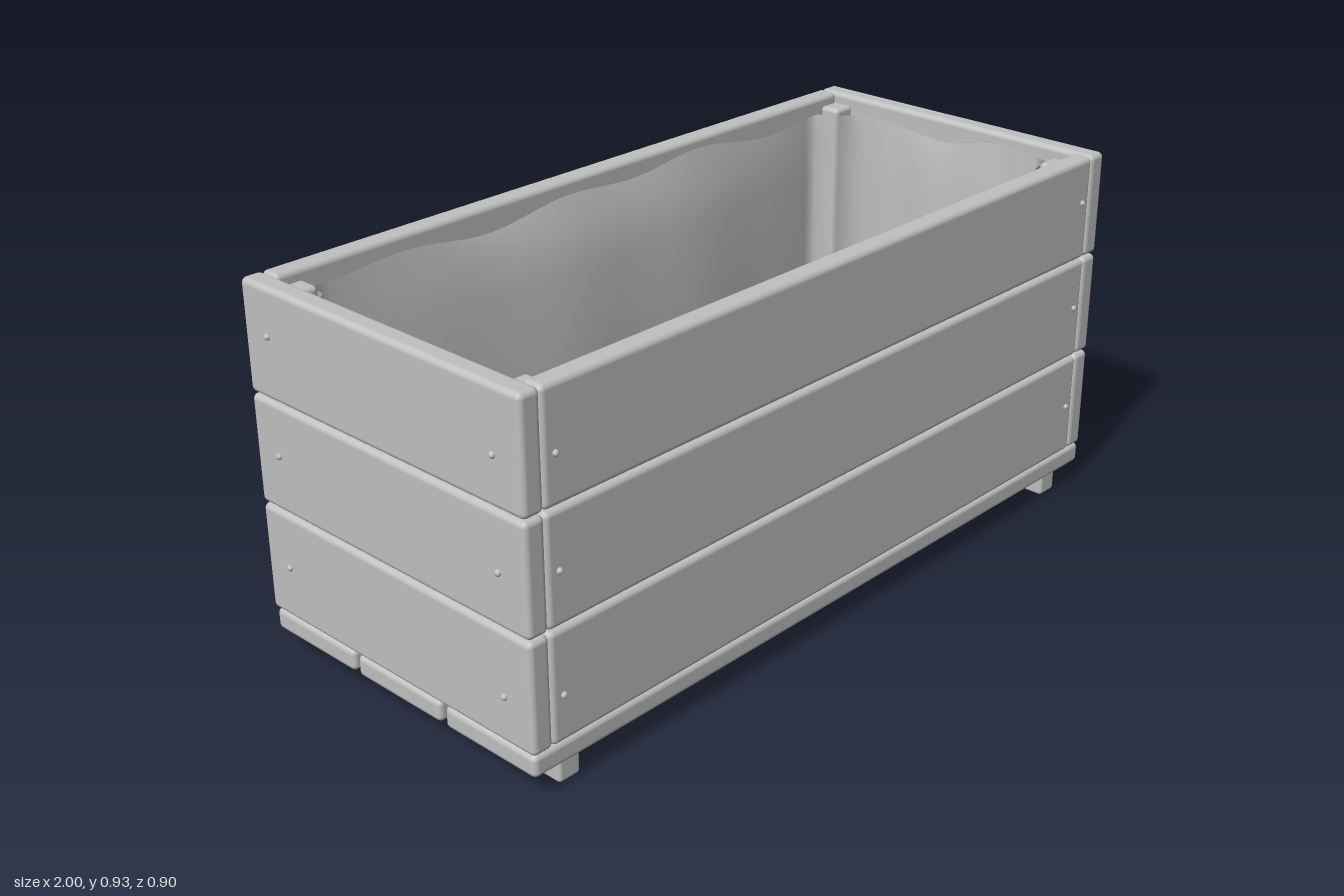
import * as THREE from 'three';
import { RoundedBoxGeometry } from 'three/addons/geometries/RoundedBoxGeometry.js';

export function createModel() {
  const model = new THREE.Group();
  model.name = 'planterBox';
  const grey = new THREE.MeshStandardMaterial({ color: 0xc0c0c0, side: THREE.DoubleSide });
  grey.name = 'plainGrey';

  const add = (name, geometry) => {
    const mesh = new THREE.Mesh(geometry, grey);
    mesh.name = name;
    model.add(mesh);
    return mesh;
  };

  // Softly rounded board given by its minimum and maximum corners
  const board = (name, [x0, y0, z0], [x1, y1, z1], radius = 0.014) => {
    const mesh = add(name, new RoundedBoxGeometry(x1 - x0, y1 - y0, z1 - z0, 3, radius));
    mesh.position.set((x0 + x1) / 2, (y0 + y1) / 2, (z0 + z1) / 2);
  };

  // Domed screw head facing along dir
  const screwGeometry = new THREE.SphereGeometry(0.008, 10, 6);
  const screw = (x, y, z) => add('screw', screwGeometry).position.set(x, y, z);

  // Three courses of wall planks, with screws near each end
  const courses = [
    { y0: 0.115, y1: 0.386, low: 0.23, high: 0.25 },
    { y0: 0.39, y1: 0.657, low: 0.52, high: 0.53 },
    { y0: 0.661, y1: 0.93, low: 0.78, high: 0.815 },
  ];
  for (const { y0, y1, low, high } of courses) {
    board('frontPlank', [-0.938, y0, 0.387], [0.938, y1, 0.442]);
    board('backPlank', [-0.938, y0, -0.442], [0.938, y1, -0.387]);
    board('leftPlank', [0.936, y0, -0.442], [0.992, y1, 0.442]);
    board('rightPlank', [-0.992, y0, -0.442], [-0.936, y1, 0.442]);
    for (const s of [-1, 1]) {
      screw(-0.905, low, s * 0.443);
      screw(0.905, high, s * 0.443);
      screw(s * 0.993, low, 0.36);
      screw(s * 0.993, high, -0.356);
    }
  }

  // Floor slats
  for (const [z0, z1] of [[0.157, 0.44], [-0.138, 0.142], [-0.434, -0.151]]) {
    board('floorSlat', [-0.99, 0.06, z0], [0.99, 0.115, z1]);
  }

  // Feet and inner corner posts
  for (const s of [-1, 1]) {
    const x = s * 0.878;
    board('foot', [x - 0.031, 0, -0.42], [x + 0.031, 0.063, 0.424], 0.01);
    for (const t of [-1, 1]) {
      const px = s * 0.903, pz = t * 0.358;
      board('cornerPost', [px - 0.033, 0.115, pz - 0.03], [px + 0.033, 0.905, pz + 0.03], 0.012);
    }
  }

  // Fabric liner: an outline that steps around the posts, sagging inward mid-wall
  const outline = (sag) => {
    const points = [];
    const wall = (n, half, depth, place) => {
      for (let i = 0; i <= n; i++) {
        const t = -1 + (2 * i) / n;
        const bulge = Math.cos((t * Math.PI) / 2) * sag * depth;
        const ripple = Math.sin(t * 11) * 0.004 * sag * (1 - t * t);
        points.push(place(t * half, bulge + ripple));
      }
    };
    const corner = (x, z) => points.push([x, z]);
    wall(36, 0.85, 0.05, (u, d) => [u, 0.383 - d]);
    corner(0.862, 0.33); corner(0.872, 0.32);
    wall(18, 0.31, 0.02, (u, d) => [0.932 - d, -u]);
    corner(0.872, -0.32); corner(0.862, -0.33);
    wall(36, 0.85, 0.05, (u, d) => [-u, -0.383 + d]);
    corner(-0.862, -0.33); corner(-0.872, -0.32);
    wall(18, 0.31, 0.02, (u, d) => [-0.932 + d, u]);
    corner(-0.872, 0.32); corner(-0.862, 0.33);
    return points;
  };

  // Rings of the liner wall from its wavy rim down to the floor
  const levels = [[0.885, 0], [0.82, 0.45], [0.72, 0.85], [0.5, 1], [0.28, 1], [0.13, 0.9]];
  const positions = [], indices = [];
  let count = 0;
  levels.forEach(([y, sag], row) => {
    const ring = outline(sag);
    count = ring.length;
    ring.forEach(([x, z]) => {
      const wave = Math.sin(x * 13 + z * 9) * 0.011 + Math.sin(x * 5 - z * 17) * 0.009;
      positions.push(x, y + (row === 0 ? wave : 0), z);
    });
  });
  for (let r = 0; r < levels.length - 1; r++) {
    for (let i = 0; i < count; i++) {
      const j = (i + 1) % count;
      const a = r * count + i, b = r * count + j;
      indices.push(a, b, a + count, b, b + count, a + count);
    }
  }
  const linerWall = new THREE.BufferGeometry();
  linerWall.setAttribute('position', new THREE.Float32BufferAttribute(positions, 3));
  linerWall.setIndex(indices);
  linerWall.computeVertexNormals();
  add('linerWall', linerWall);

  // Flat bottom of the liner
  const base = new THREE.Shape(outline(0.9).map(([x, z]) => new THREE.Vector2(x, -z)));
  const linerFloor = new THREE.ShapeGeometry(base);
  linerFloor.rotateX(-Math.PI / 2);
  linerFloor.translate(0, 0.13, 0);
  add('linerFloor', linerFloor);

  return model;
}
